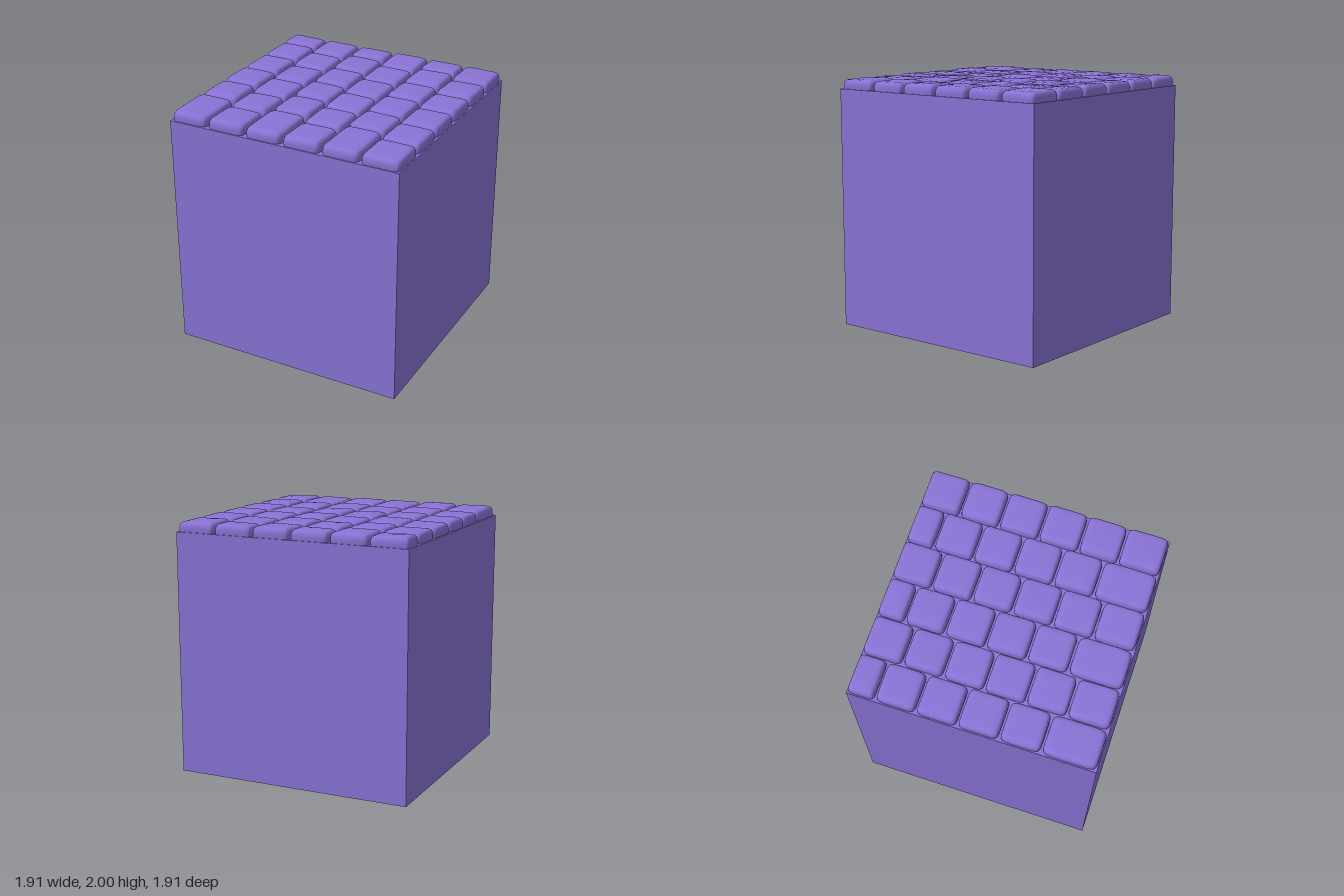
import * as THREE from 'three';

const HALF = 0.955, BASE_TOP = 1.915, GAP = 0.007;

// Joint lines along z for the two alternating kinds of column
const JOINTS = [
  [-0.955, -0.735, -0.422, -0.104, 0.214, 0.532, 0.955],
  [-0.955, -0.638, -0.322, -0.005, 0.312, 0.626, 0.955],
];

// Cross-sections of a stone from bottom to top: [inset, height]
const SECTIONS = [
  [0.002, 0], [0, 0.025], [0.002, 0.045], [0.007, 0.06], [0.014, 0.07],
  [0.024, 0.0765], [0.045, 0.0795], [0.09, 0.081],
];

function seeded(seed) {
  return () => {
    seed = (seed * 16807) % 2147483647;
    return seed / 2147483647;
  };
}

// Cushion-shaped stone: rounded-square loops closed by a fan on top
function stoneGeometry(width, depth, rand) {
  const n = 48;
  const vary = (amount) => (rand() * 2 - 1) * amount;
  const tiltX = vary(0.003), tiltZ = vary(0.003);
  const skewX = vary(0.004), skewZ = vary(0.004);
  const power = 2 / (7 + rand() * 2);
  const round = (v) => Math.sign(v) * Math.abs(v) ** power;
  const positions = [], indices = [];
  const addPoint = (u, v, inset, h) => {
    const k = h / 0.081;
    positions.push(
      u * (width / 2 - inset) + skewX * k * v * (1 - Math.abs(u) * 0.5),
      h + k * k * (tiltX * u + tiltZ * v),
      v * (depth / 2 - inset) + skewZ * k * u * (1 - Math.abs(v) * 0.5),
    );
  };
  for (const [inset, h] of SECTIONS) {
    for (let j = 0; j < n; j++) {
      const a = ((j + 0.5) / n) * Math.PI * 2;
      addPoint(round(Math.cos(a)), round(Math.sin(a)), inset, h);
    }
  }
  addPoint(0, 0, 0, 0.082);
  const last = SECTIONS.length - 1, centre = SECTIONS.length * n;
  for (let i = 0; i <= last; i++) {
    for (let j = 0; j < n; j++) {
      const a = i * n + j, b = i * n + (j + 1) % n;
      if (i === last) indices.push(a, centre, b);
      else indices.push(a, a + n, b, b, a + n, b + n);
    }
  }
  const geometry = new THREE.BufferGeometry();
  geometry.setAttribute('position', new THREE.Float32BufferAttribute(positions, 3));
  geometry.setIndex(indices);
  geometry.computeVertexNormals();
  return geometry;
}

export function createModel() {
  const model = new THREE.Group();
  model.name = 'pavedBlock';
  const material = new THREE.MeshStandardMaterial({ color: 0x8a73d6 });

  // Solid block
  const block = new THREE.Mesh(new THREE.BoxGeometry(HALF * 2, BASE_TOP, HALF * 2), material);
  block.name = 'block';
  block.position.y = BASE_TOP / 2;
  model.add(block);

  // Paving stones in staggered columns
  const paving = new THREE.Group();
  paving.name = 'paving';
  paving.position.y = BASE_TOP;
  model.add(paving);
  const rand = seeded(4711);
  const pitch = HALF / 3;
  for (let col = 0; col < 6; col++) {
    const joints = JOINTS[col % 2];
    for (let row = 0; row < 6; row++) {
      const z0 = joints[row], z1 = joints[row + 1];
      const stone = new THREE.Mesh(stoneGeometry(pitch - GAP * 2, z1 - z0 - GAP * 2, rand), material);
      stone.name = 'pavingStone';
      stone.position.set(-HALF + (col + 0.5) * pitch, 0, (z0 + z1) / 2);
      paving.add(stone);
    }
  }
  return model;
}
